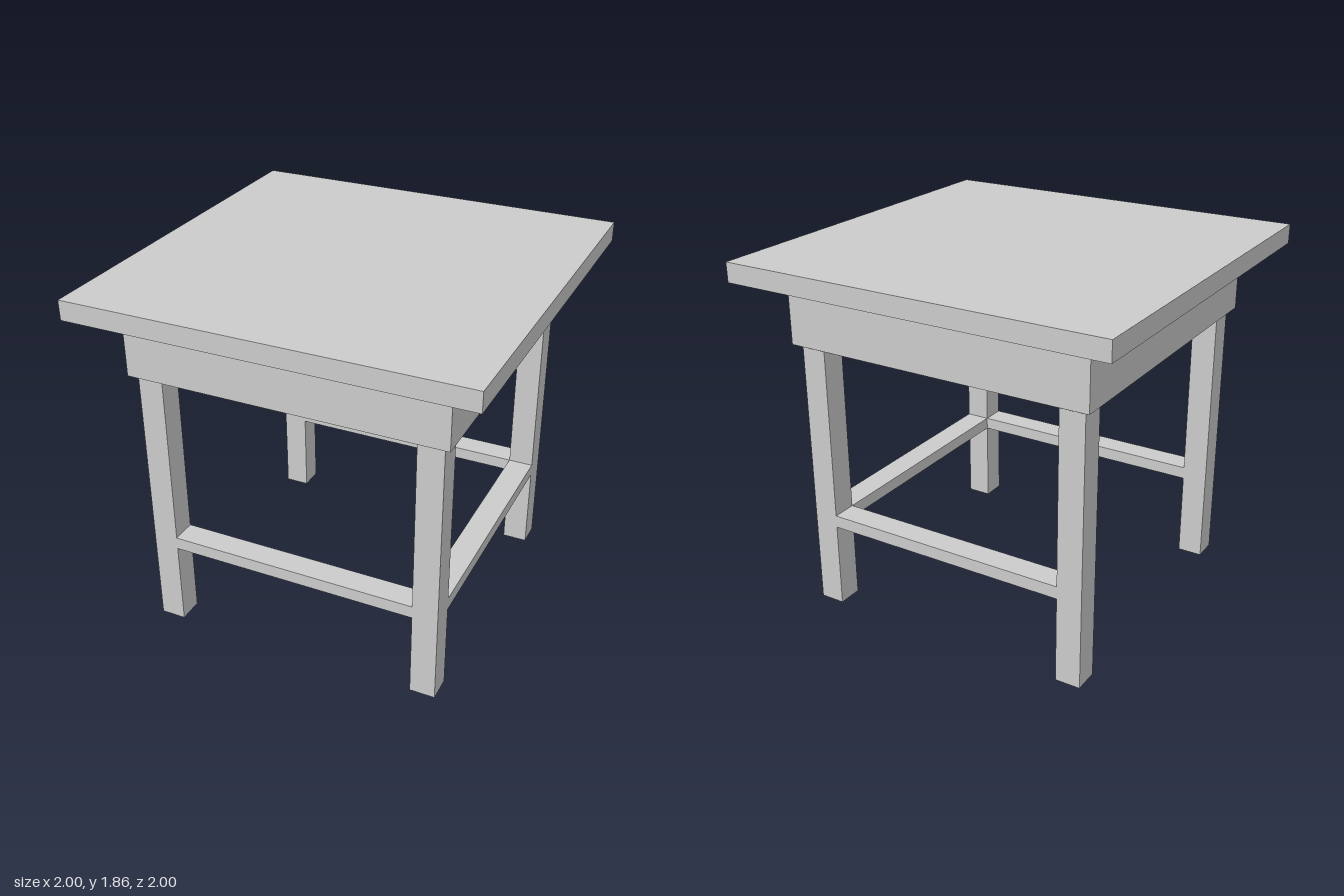
import * as THREE from 'three';

const material = new THREE.MeshStandardMaterial({ color: 0xcccccc, flatShading: true });

export function createModel() {
  const model = new THREE.Group();

  function add(name, geometry, x = 0, y = 0, z = 0) {
    const mesh = new THREE.Mesh(geometry, material);
    mesh.name = name;
    mesh.position.set(x, y, z);
    model.add(mesh);
  }

  // Open four-sided wall with half widths at the top and bottom
  function squareWall(topHalf, bottomHalf, height) {
    return new THREE.CylinderGeometry(topHalf * Math.SQRT2, bottomHalf * Math.SQRT2, height, 4, 1, true)
      .rotateY(Math.PI / 4);
  }

  // Square top slab with a shallow sloping underside down to the apron
  add('tabletop', new THREE.BoxGeometry(2, 0.1, 2), 0, 1.805, 0);
  add('topBevel', squareWall(1, 0.81, 0.05), 0, 1.73, 0);

  // Apron walls
  const apronTop = 1.705, apronBottom = 1.425, legTop = 1.407;
  add('apron', squareWall(0.81, 0.81, apronTop - apronBottom), 0, (apronTop + apronBottom) / 2, 0);

  // Underside of the apron, dipping down to the head of each leg
  const steps = [-0.81, -0.775, -0.645, 0, 0.645, 0.775, 0.81];
  const last = steps.length - 1;
  const underside = new THREE.PlaneGeometry(last, last, last, last).rotateX(Math.PI / 2);
  const p = underside.attributes.position;
  const onLeg = (v) => Math.abs(v) > 0.6 && Math.abs(v) < 0.8;
  for (let i = 0; i < p.count; i++) {
    const x = steps[Math.round(p.getX(i) + last / 2)];
    const z = steps[Math.round(p.getZ(i) + last / 2)];
    p.setXYZ(i, x, onLeg(x) && onLeg(z) ? legTop : apronBottom, z);
  }
  underside.computeVertexNormals();
  add('apronUnderside', underside);

  // Four square legs
  const legWidth = 0.13, legPos = 0.71;
  for (const x of [-legPos, legPos]) {
    for (const z of [-legPos, legPos]) {
      add('leg', new THREE.BoxGeometry(legWidth, legTop, legWidth), x, legTop / 2, z);
    }
  }

  // Stretchers at the front, back and left; the right side stays open
  const span = 2 * legPos - legWidth, railHeight = 0.065, railY = 0.483;
  for (const z of [-legPos, legPos]) {
    add('stretcher', new THREE.BoxGeometry(span, railHeight, legWidth), 0, railY, z);
  }
  add('sideStretcher', new THREE.BoxGeometry(legWidth, railHeight, span), legPos, railY, 0);

  return model;
}
